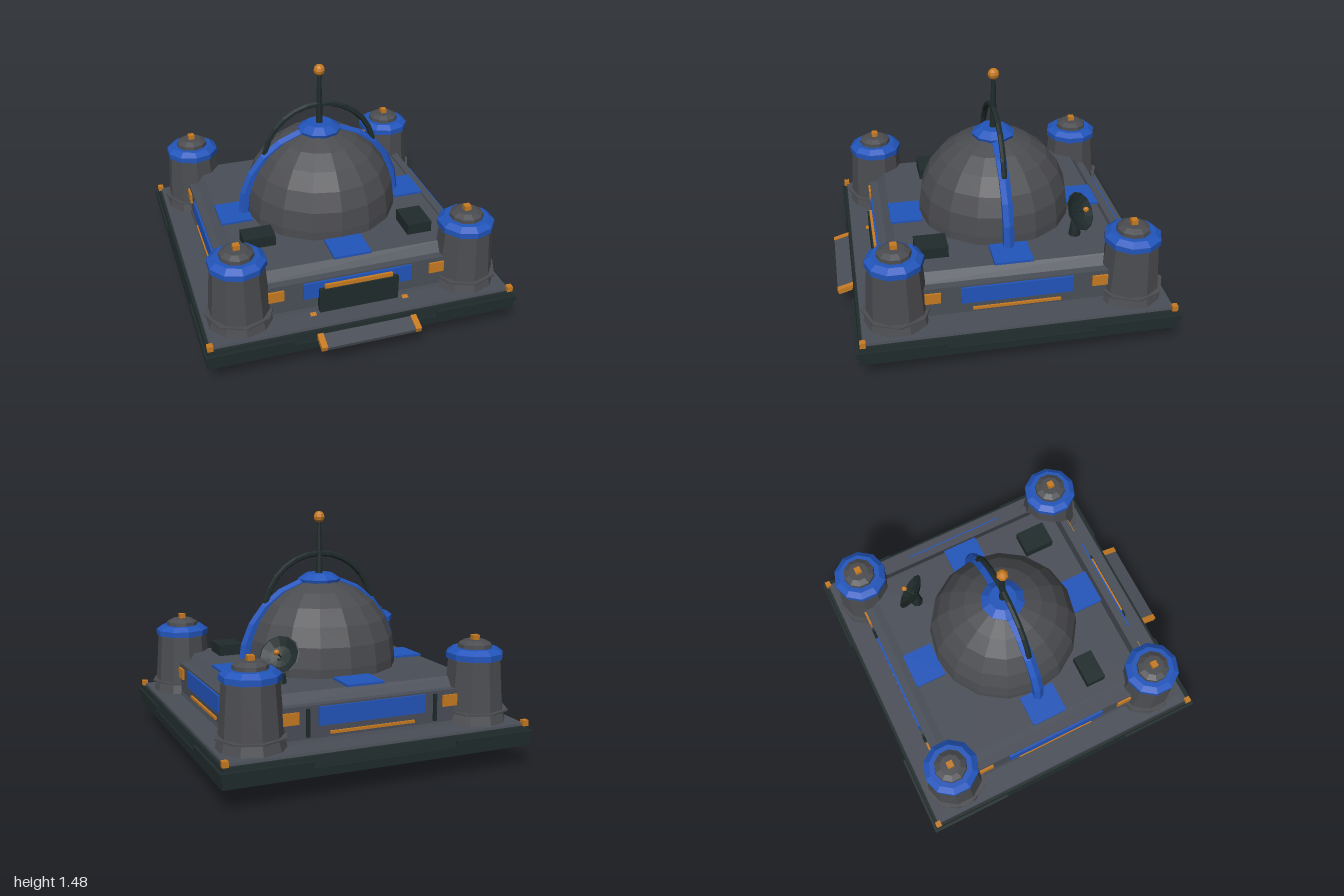
import * as THREE from 'three';

const material = (name, color) => {
  const m = new THREE.MeshStandardMaterial({ color });
  m.name = name;
  return m;
};

export function createModel() {
  const hull = material('hull grey', 0x4a4e57);
  const stone = material('warm grey', 0x4b4c50);
  const dark = material('dark green grey', 0x202b2b);
  const blue = material('blue', 0x2255bb);
  const orange = material('orange', 0xc67a22);

  const model = new THREE.Group();
  model.name = 'domedBase';
  const root = new THREE.Group();
  root.name = 'building';
  root.position.z = -0.04;
  model.add(root);

  // Faceted mesh helper
  const add = (parent, name, geometry, mat, x = 0, y = 0, z = 0) => {
    const g = geometry.index ? geometry.toNonIndexed() : geometry;
    g.computeVertexNormals();
    const mesh = new THREE.Mesh(g, mat);
    mesh.name = name;
    mesh.position.set(x, y, z);
    parent.add(mesh);
    return mesh;
  };
  const box = (parent, name, mat, w, h, d, x, y, z) =>
    add(parent, name, new THREE.BoxGeometry(w, h, d), mat, x, y, z);
  const lathe = (parent, name, mat, pts, sides, x = 0, y = 0, z = 0) =>
    add(parent, name, new THREE.LatheGeometry(pts.map(p => new THREE.Vector2(...p)), sides), mat, x, y, z);
  // Square frustum given half widths
  const frustum = (name, mat, top, bottom, y0, y1) => {
    const g = new THREE.CylinderGeometry(top * Math.SQRT2, bottom * Math.SQRT2, y1 - y0, 4);
    g.rotateY(Math.PI / 4);
    return add(root, name, g, mat, 0, (y0 + y1) / 2, 0);
  };

  // Platform
  frustum('platformBase', dark, 0.95, 0.95, 0.135, 0.185);
  frustum('platformGroove', dark, 0.935, 0.935, 0.185, 0.195);
  frustum('platformUpper', dark, 0.94, 0.95, 0.195, 0.25);
  frustum('platformDeck', hull, 0.92, 0.925, 0.24, 0.265);

  // Main hall
  frustum('hallPlinth', hull, 0.768, 0.775, 0.26, 0.285);
  frustum('hallWalls', hull, 0.765, 0.765, 0.28, 0.475);
  frustum('hallRoof', hull, 0.667, 0.715, 0.475, 0.53);

  // Wall dressing on all four sides
  for (let k = 0; k < 4; k++) {
    const side = new THREE.Group();
    side.name = ['frontSide', 'leftSide', 'backSide', 'rightSide'][k];
    side.rotation.y = k * Math.PI / 2;
    root.add(side);
    box(side, 'wallPanel', blue, 0.67, 0.108, 0.02, 0, 0.411, 0.768);
    box(side, 'roofPlate', blue, 0.234, 0.015, 0.2, 0, 0.537, 0.575);
    for (const s of [-1, 1]) {
      box(side, 'wallClamp', orange, 0.095, 0.068, 0.02, s * 0.5, 0.412, 0.768);
      box(side, 'platformTrim', dark, 0.52, 0.035, 0.02, s * 0.7, 0.207, 0.95);
      if (k === 2) box(side, 'wallPost', dark, 0.018, 0.16, 0.02, s * 0.4, 0.38, 0.772);
    }
    if (k > 0) box(side, 'wallStrip', orange, 0.53, 0.016, 0.02, 0, 0.312, 0.768);
  }

  // Door and ramp
  box(root, 'door', dark, 0.49, 0.16, 0.05, 0, 0.342, 0.78);
  box(root, 'doorLintel', orange, 0.42, 0.025, 0.04, 0, 0.435, 0.775);
  const ramp = new THREE.Group();
  ramp.name = 'ramp';
  ramp.position.set(0, 0.22, 0.915);
  ramp.rotation.x = 0.28;
  root.add(ramp);
  box(ramp, 'rampDeck', hull, 0.58, 0.024, 0.255, 0, 0, 0);
  for (const s of [-1, 1]) box(ramp, 'rampEdge', orange, 0.036, 0.032, 0.255, s * 0.288, 0.002, 0);

  // Corner towers and platform lamps
  for (const sx of [-1, 1]) for (const sz of [-1, 1]) {
    const tower = new THREE.Group();
    tower.name = 'cornerTower';
    tower.position.set(sx * 0.705, 0, sz * 0.704);
    root.add(tower);
    lathe(tower, 'towerBody', stone, [[0.2, 0.26], [0.183, 0.32], [0.16, 0.635], [0, 0.635]], 10);
    add(tower, 'towerFlange', new THREE.CylinderGeometry(0.21, 0.21, 0.01, 8), stone, 0, 0.333, 0);
    lathe(tower, 'towerRing', blue,
      [[0.15, 0.635], [0.172, 0.64], [0.172, 0.675], [0.135, 0.702], [0, 0.702]], 10);
    lathe(tower, 'towerCap', stone, [[0.103, 0.7], [0.1, 0.725], [0.065, 0.745], [0, 0.747]], 10);
    box(tower, 'towerLamp', orange, 0.04, 0.035, 0.04, 0, 0.758, 0);
    box(root, 'platformLamp', orange, 0.035, 0.035, 0.035, sx * 0.925, 0.267, sz * 0.922);
  }

  // Dome: short drum and rounded shell
  const shell = [[0.48, 0.52]];
  for (let i = 0; i <= 6; i++) {
    const a = i * Math.PI / 12;
    shell.push([Math.max(0, 0.48 * Math.cos(a)), 0.585 + 0.48 * Math.sin(a)]);
  }
  lathe(root, 'dome', stone, shell, 16);

  // Arches over the dome
  add(root, 'domeRing', new THREE.TorusGeometry(0.504, 0.037, 6, 24), blue, 0, 0.542, 0);
  add(root, 'upperArch', new THREE.TorusGeometry(0.363, 0.018, 6, 14, Math.PI), dark, 0, 0.86, 0);

  // Crown and mast
  lathe(root, 'crownCollar', dark, [[0.14, 0.96], [0.148, 1.0], [0.12, 1.06], [0, 1.06]], 10);
  add(root, 'crownBand', new THREE.CylinderGeometry(0.155, 0.155, 0.03, 10), orange, 0, 1.013, 0);
  lathe(root, 'crownCap', blue, [[0, 1.045], [0.13, 1.045], [0.136, 1.065], [0.085, 1.1], [0, 1.1]], 10);
  add(root, 'mast', new THREE.CylinderGeometry(0.013, 0.023, 0.34, 8), dark, 0, 1.26, 0);
  add(root, 'mastBall', new THREE.SphereGeometry(0.036, 8, 6), orange, 0, 1.449, 0);

  // Roof equipment
  box(root, 'roofUnit', dark, 0.195, 0.07, 0.125, -0.505, 0.57, 0.368);
  box(root, 'roofUnit', dark, 0.155, 0.07, 0.195, 0.468, 0.57, 0.468);

  // Dish antenna
  add(root, 'dishStand', new THREE.CylinderGeometry(0.02, 0.04, 0.15, 8), dark, 0.43, 0.6, -0.43);
  const dish = new THREE.Group();
  dish.name = 'dish';
  dish.position.set(0.43, 0.685, -0.44);
  dish.quaternion.setFromUnitVectors(new THREE.Vector3(0, 1, 0),
    new THREE.Vector3(0.58, 0.55, -0.6).normalize());
  root.add(dish);
  lathe(dish, 'dishBowl', dark,
    [[0, -0.02], [0.07, -0.008], [0.122, 0.025], [0.115, 0.028], [0.065, 0.005], [0, -0.005]], 12);
  add(dish, 'dishFeedArm', new THREE.CylinderGeometry(0.005, 0.005, 0.07, 6), dark, 0, 0.03, 0);
  add(dish, 'dishFeed', new THREE.SphereGeometry(0.018, 6, 5), orange, 0, 0.07, 0);

  return model;
}
